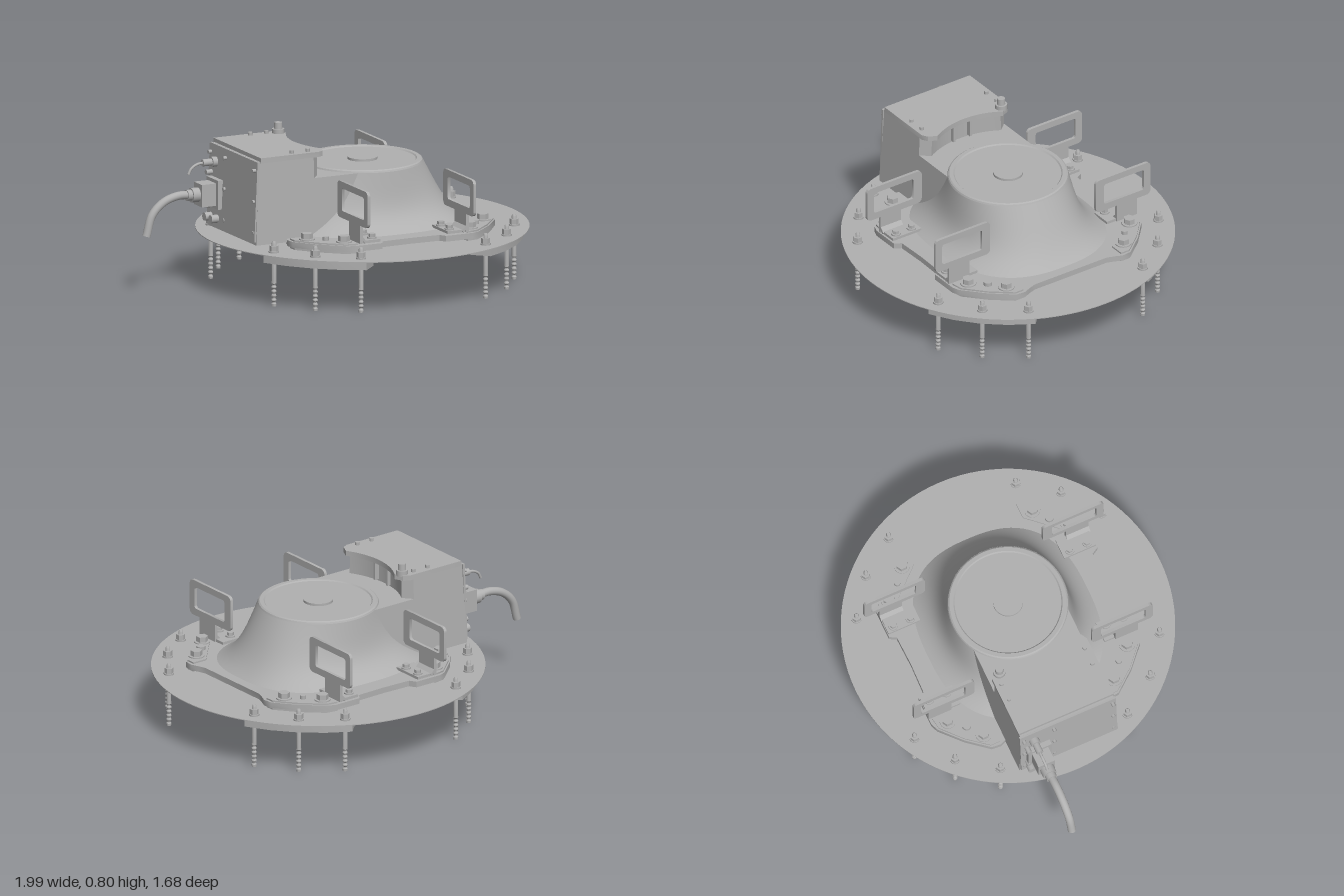
import * as THREE from 'three';
import { toCreasedNormals } from 'three/addons/utils/BufferGeometryUtils.js';

const CX = 0.155; // axis of the round parts
const grey = new THREE.MeshStandardMaterial({ color: 0xb0b0b0 });
grey.name = 'plain grey';

function add(parent, name, geo, x = 0, y = 0, z = 0) {
  const m = new THREE.Mesh(geo, grey);
  m.name = name;
  m.position.set(x, y, z);
  parent.add(m);
  return m;
}
const box = (w, h, d) => new THREE.BoxGeometry(w, h, d);
const cyl = (r, h, n = 20, r2 = r) => new THREE.CylinderGeometry(r2, r, h, n);
const cylX = (r, h, n = 16) => cyl(r, h, n).rotateZ(Math.PI / 2);

// Horizontal slab from a plan outline of [x, z] points
function slab(pts, y0, y1) {
  const s = new THREE.Shape(pts.map(([x, z]) => new THREE.Vector2(x, -z)));
  const g = new THREE.ExtrudeGeometry(s, { depth: y1 - y0, bevelEnabled: false });
  return toCreasedNormals(g.rotateX(-Math.PI / 2).translate(0, y0, 0), 0.6);
}

// Plan arc about the turret axis, on its -x side
function arc(r, zMax, n = 20) {
  return Array.from({ length: n + 1 }, (_, i) => {
    const z = zMax * (1 - 2 * i / n);
    return [CX - Math.sqrt(r * r - z * z), z];
  });
}

// Rounded rectangle drawn on a Shape or Path
function roundRect(p, x0, y0, x1, y1, r) {
  p.moveTo(x0 + r, y0).lineTo(x1 - r, y0);
  p.absarc(x1 - r, y0 + r, r, -Math.PI / 2, 0).absarc(x1 - r, y1 - r, r, 0, Math.PI / 2);
  p.absarc(x0 + r, y1 - r, r, Math.PI / 2, Math.PI).absarc(x0 + r, y0 + r, r, Math.PI, Math.PI * 1.5);
  return p;
}

// Flared body: round at the top, rounded rectangle at the foot
function flaredBody() {
  const N = 96, M = 20, pos = [], idx = [];
  for (let j = 0; j <= M; j++) {
    const s = j / M;
    for (let i = 0; i < N; i++) {
      const a = i / N * Math.PI * 2, c = Math.cos(a), d = Math.sin(a);
      const foot = Math.pow(Math.pow(Math.abs(c) / 0.5, 2.6) + Math.pow(Math.abs(d) / 0.45, 2.6), -1 / 2.6);
      const k = 0.3 + 0.5 * c * c;
      const f = k * s + (1 - k) * s ** 5;
      const r = 0.305 + (foot - 0.305) * f;
      pos.push(CX + r * c, 0.612 - 0.3 * s, r * d);
      if (j < M) {
        const p = j * N + i, q = j * N + (i + 1) % N;
        idx.push(p, q, p + N, q, q + N, p + N);
      }
    }
  }
  const g = new THREE.BufferGeometry();
  g.setAttribute('position', new THREE.Float32BufferAttribute(pos, 3));
  g.setIndex(idx);
  g.computeVertexNormals();
  return g;
}

function hexBolt(parent, x, y, z, r = 0.03) {
  add(parent, 'boltWasher', cyl(r * 1.35, 0.008), x, y + 0.004, z);
  add(parent, 'boltHead', toCreasedNormals(cyl(r, r * 0.9, 6), 0.4), x, y + 0.008 + r * 0.45, z);
}

// Anchor: ribbed stud with nut and rounded tip
function anchor(parent, x, z) {
  const pts = [[0, 0], [0.012, 0]];
  for (let i = 0; i < 5; i++) {
    const y = 0.012 + i * 0.022;
    pts.push([0.013, y], [0.009, y + 0.006], [0.009, y + 0.011], [0.013, y + 0.017]);
  }
  pts.push([0.012, 0.13], [0.012, 0.325], [0.008, 0.334], [0, 0.334]);
  const g = new THREE.LatheGeometry(pts.map(p => new THREE.Vector2(...p)), 12);
  add(parent, 'anchorStud', toCreasedNormals(g, 0.5), x, 0, z);
  add(parent, 'anchorWasher', cyl(0.026, 0.008, 16), x, 0.28, z);
  add(parent, 'anchorNut', toCreasedNormals(cyl(0.023, 0.028, 6), 0.4), x, 0.297, z);
}

// Lifting handle on a bent foot; side is the direction of the foot in x
function handle(side) {
  const g = new THREE.Group();
  g.name = 'liftingHandle';
  const s = roundRect(new THREE.Shape(), 0.325, 0.42, 0.66, 0.607, 0.025);
  s.holes.push(roundRect(new THREE.Path(), 0.375, 0.457, 0.62, 0.573, 0.012));
  const ring = new THREE.ExtrudeGeometry(s, { depth: 0.016, bevelEnabled: false, curveSegments: 6 });
  add(g, 'handleLoop', toCreasedNormals(ring.rotateY(-Math.PI / 2).translate(0.008, 0, 0), 0.6));
  add(g, 'handleNeck', box(0.016, 0.1, 0.125), 0, 0.377, 0.515);
  add(g, 'handleFoot', box(0.108, 0.014, 0.175), side * 0.054, 0.333, 0.485);
  const bend = add(g, 'handleBend', box(0.04, 0.014, 0.125), side * 0.012, 0.345, 0.515);
  bend.rotation.z = -side * 0.8;
  for (const z of [0.44, 0.535]) hexBolt(g, side * 0.08, 0.34, z, 0.018);
  return g;
}

function cable(parent, name, pts, r) {
  const v = pts.map(p => new THREE.Vector3(...p));
  const curve = new THREE.CatmullRomCurve3(v);
  add(parent, name, new THREE.TubeGeometry(curve, 30, r, 14));
  const end = add(parent, name + 'End', new THREE.CircleGeometry(r, 14));
  end.position.copy(v[v.length - 1]);
  end.lookAt(end.position.clone().add(curve.getTangent(1)));
}

export function createModel() {
  const g = new THREE.Group();
  g.name = 'machineBase';

  // Floor disc
  add(g, 'floorDisc', toCreasedNormals(cyl(0.84, 0.004, 96), 0.6), CX, 0.274, 0);

  // Four ground plates with three anchors each
  for (let k = 0; k < 4; k++) {
    const a = Math.PI / 4 + k * Math.PI / 2, c = Math.cos(a), s = Math.sin(a);
    const plan = [[0.54, -0.15], [0.66, -0.273], [0.766, -0.273], [0.8, -0.14], [0.812, 0],
      [0.8, 0.14], [0.766, 0.273], [0.66, 0.273], [0.54, 0.15]];
    add(g, 'groundPlate', slab(plan.map(([r, t]) => [CX + r * c - t * s, r * s + t * c]), 0.228, 0.273));
    for (const d of [-0.307, 0, 0.307]) anchor(g, CX + 0.762 * Math.cos(a + d), 0.762 * Math.sin(a + d));
  }

  // Flange with waisted sides
  const q = [[0.545, 0], [0.545, 0.22], [0.558, 0.26], [0.575, 0.3], [0.57, 0.35], [0.48, 0.46],
    [0.37, 0.56], [0.33, 0.575], [0.18, 0.575], [0.16, 0.54], [0, 0.535]];
  const mirror = q.slice(0, -1).reverse().map(([x, z]) => [-x, z]);
  const half = [...q, ...mirror];
  const outline = [...half, ...half.slice(1, -1).reverse().map(([x, z]) => [x, -z])];
  add(g, 'flange', slab(outline.map(([x, z]) => [CX + x, z]), 0.288, 0.318));

  // Corner feet and their bolts
  for (const sx of [-1, 1]) for (const sz of [-1, 1]) {
    const foot = [[0.56, 0.3], [0.56, 0.35], [0.475, 0.455], [0.37, 0.55], [0.31, 0.56], [0.3, 0.5], [0.48, 0.3]];
    add(g, 'cornerFoot', slab(foot.map(([x, z]) => [CX + sx * x, sz * z]), 0.276, 0.326));
    hexBolt(g, CX + sx * 0.355, 0.324, sz * 0.495);
    hexBolt(g, CX + sx * 0.495, 0.324, sz * 0.36);
    add(g, 'locatingPin', cyl(sx === sz ? 0.022 : 0.016, 0.022, 16), CX + sx * 0.42, 0.334, sz * 0.42);
  }

  // Flared turret body with rim and centre cap
  add(g, 'turretBody', flaredBody());
  const rim = [[0.305, 0.611], [0.301, 0.62], [0.294, 0.625], [0.274, 0.625], [0.268, 0.619], [0, 0.619]];
  const rimGeo = new THREE.LatheGeometry(rim.map(p => new THREE.Vector2(...p)), 96);
  add(g, 'turretRim', toCreasedNormals(rimGeo, 0.5), CX);
  add(g, 'centreCap', toCreasedNormals(cyl(0.075, 0.014, 40), 0.6), CX, 0.624, 0);

  // Connection housing: lower neck widens downward, upper part is scooped around the turret
  const neck = slab([[-0.56, 0.257], [0.05, 0.257], [0.05, -0.257], [-0.56, -0.257]], 0.3, 0.612);
  const upper = slab([[-0.56, 0.257], [-0.25, 0.257], ...arc(0.42, 0.21), [-0.25, -0.257], [-0.56, -0.257]], 0.612, 0.725);
  for (const geo of [neck, upper]) {
    const p = geo.attributes.position;
    for (let i = 0; i < p.count; i++) {
      const d = 0.74 - p.getY(i);
      p.setZ(i, p.getZ(i) * (1 + 0.13 * d));
      if (p.getX(i) < -0.5) p.setX(i, p.getX(i) - 0.045 * d);
    }
  }
  add(g, 'housingNeck', toCreasedNormals(neck, 0.6));
  add(g, 'housingTop', toCreasedNormals(upper, 0.6));
  for (const z of [-0.05, 0.05]) add(g, 'housingRib', box(0.03, 0.1, 0.012), -0.255, 0.67, z);

  // Lid, its screws and the post
  add(g, 'lid', slab([[-0.55, 0.262], [-0.225, 0.262], [-0.195, 0.245], ...arc(0.385, 0.2), [-0.195, -0.245],
    [-0.225, -0.262], [-0.55, -0.262]], 0.718, 0.745));
  for (const x of [-0.36, -0.27]) for (const z of [-0.23, 0.23]) add(g, 'lidScrew', cyl(0.011, 0.018, 12), x, 0.752, z);
  add(g, 'postCollar', cyl(0.031, 0.03), -0.21, 0.752, -0.215);
  add(g, 'post', cyl(0.022, 0.07, 20, 0.02), -0.21, 0.765, -0.215);

  // Rear connector panel with screws
  const panel = add(g, 'rearPanel', box(0.012, 0.41, 0.53), -0.573, 0.52, 0);
  panel.rotation.z = -0.045;
  for (const y of [0.36, 0.52, 0.68]) for (const z of [-0.245, -0.08, 0.245]) {
    add(g, 'panelScrew', cylX(0.01, 0.03, 10), -0.575, y, z);
  }

  // Main plug and cable
  add(g, 'plugBase', box(0.03, 0.15, 0.13), -0.59, 0.485, -0.17);
  add(g, 'plugBody', box(0.09, 0.115, 0.09), -0.64, 0.485, -0.17);
  add(g, 'plugCollar', cylX(0.037, 0.05), -0.7, 0.485, -0.17);
  add(g, 'plugGland', cylX(0.028, 0.04), -0.73, 0.487, -0.17);
  cable(g, 'mainCable', [[-0.73, 0.488, -0.17], [-0.8, 0.49, -0.168], [-0.88, 0.465, -0.167],
    [-0.945, 0.405, -0.166], [-0.978, 0.3, -0.165]], 0.021);

  // Small plug, thin cable and spare sockets
  add(g, 'smallPlugBase', cylX(0.026, 0.04), -0.58, 0.64, -0.19);
  add(g, 'smallPlug', cylX(0.018, 0.08), -0.61, 0.64, -0.19);
  cable(g, 'thinCable', [[-0.64, 0.64, -0.19], [-0.68, 0.635, -0.19], [-0.715, 0.615, -0.188], [-0.73, 0.588, -0.187]], 0.007);
  for (const z of [-0.22, -0.15]) add(g, 'socket', cylX(0.021, 0.05), -0.6, 0.355, z);
  for (const y of [0.58, 0.41]) add(g, 'socketPin', cylX(0.013, 0.04, 12), -0.59, y, -0.23);

  // Four lifting handles
  for (const [x, side] of [[-0.143, 1], [0.453, -1]]) for (const sz of [1, -1]) {
    const h = handle(side);
    h.position.x = x;
    h.scale.z = sz;
    g.add(h);
  }
  return g;
}
